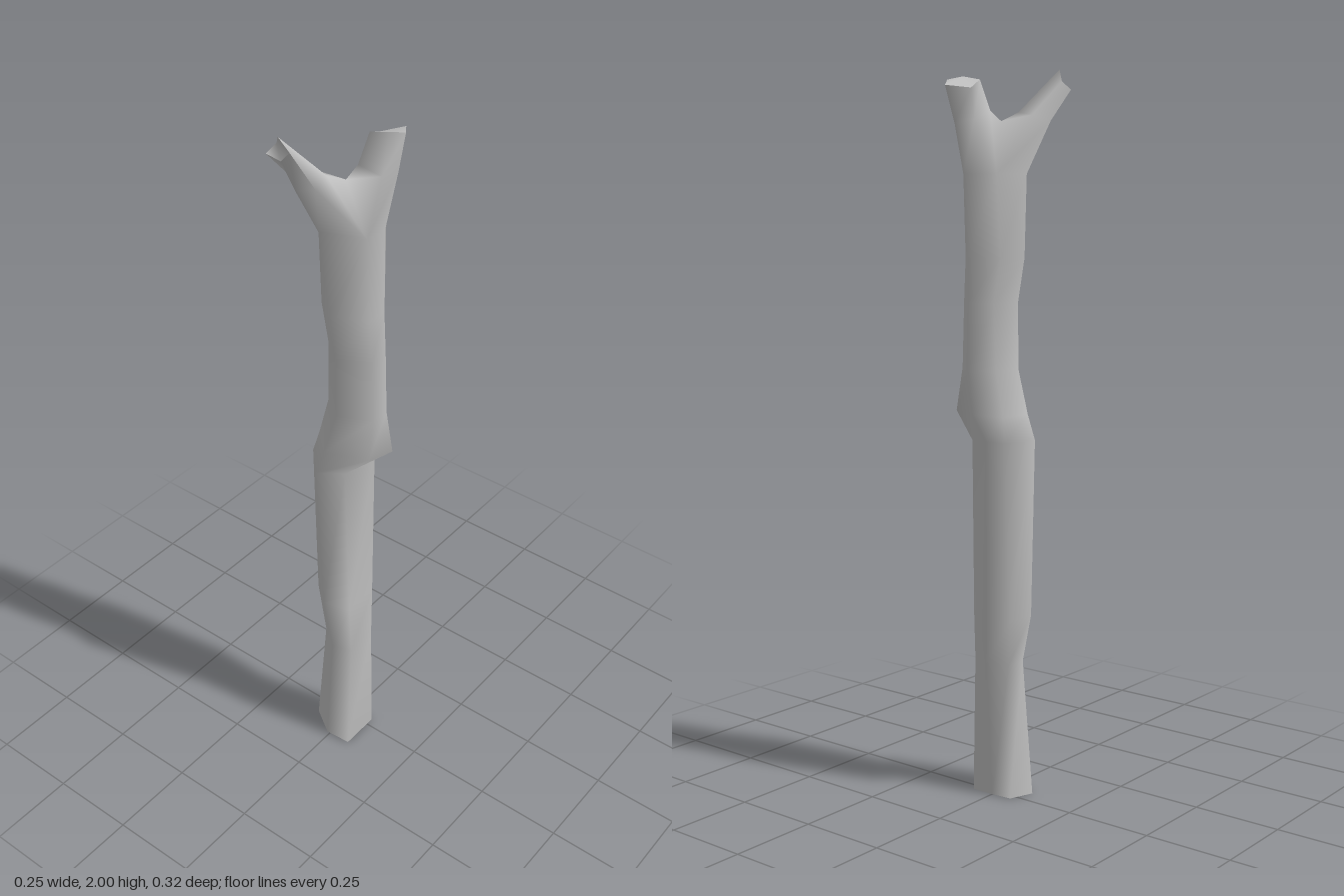
import * as THREE from 'three';

// Trunk cross-sections: height, then six [x, z] corners, counter-clockwise from above
const TRUNK = [
  [0, [.067, .095], [.067, -.025], [0, -.025], [-.06, -.02], [-.085, .05], [-.01, .1]],
  [.38, [.068, .08], [.068, -.015], [.02, -.025], [-.05, -.015], [-.05, .05], [.01, .095]],
  [.52, [.045, .06], [.045, -.048], [0, -.05], [-.085, -.05], [-.09, .035], [-.03, .085]],
  [1.01, [.03, .06], [.03, -.072], [-.02, -.075], [-.085, -.077], [-.105, .03], [-.035, .105]],
  [1.08, [.1, .045], [.125, -.025], [.02, -.083], [-.08, -.078], [-.088, .02], [-.015, .092]],
  [1.2, [.1, .03], [.103, -.025], [.03, -.09], [-.055, -.075], [-.056, .02], [.01, .072]],
  [1.38, [.095, .03], [.097, -.025], [.03, -.09], [-.05, -.08], [-.05, .025], [.01, .072]],
  [1.5, [.085, .03], [.087, -.03], [.03, -.09], [-.065, -.07], [-.068, .03], [-.01, .07]],
  [1.72, [.065, .015], [.07, -.05], [.04, -.095], [-.04, -.055], [-.09, .01], [-.05, .06]],
];
const CROTCH = [0, 1.86, .015];
// Prong cross-sections, each starting from four trunk corners plus the crotch
const FRONT_PRONG = [
  [[-.08, 1.875, .045], [-.112, 1.86, .085], [-.07, 1.85, .12], [-.015, 1.865, .11], [-.02, 1.885, .065]],
  [[-.115, 1.965, .13], [-.125, 1.945, .158], [-.085, 1.935, .152], [-.05, 1.97, .16], [-.085, 2, .16]],
];
const BACK_PRONG = [
  [[.07, 1.87, -.035], [.085, 1.87, -.08], [.05, 1.85, -.118], [0, 1.86, -.098], [.005, 1.885, -.025]],
  [[.07, 1.975, -.06], [.09, 1.965, -.1], [.045, 1.945, -.162], [.005, 1.94, -.105], [.02, 1.965, -.05]],
];

// Flat polygon closing the end of a limb
function makeCap(name, points, material) {
  const geometry = new THREE.BufferGeometry();
  geometry.setAttribute('position', new THREE.Float32BufferAttribute(points.flat(), 3));
  const index = [];
  for (let i = 1; i < points.length - 1; i++) index.push(0, i, i + 1);
  geometry.setIndex(index);
  geometry.computeVertexNormals();
  const mesh = new THREE.Mesh(geometry, material);
  mesh.name = name;
  return mesh;
}

export function createModel() {
  const group = new THREE.Group();
  group.name = 'forkedBranch';
  const bark = new THREE.MeshStandardMaterial({ color: 0xbfbfbf });
  bark.name = 'grey bark';

  const vertices = [], index = [];
  const add = (p) => vertices.push(p) - 1;
  const bridge = (low, high) => {
    low.forEach((a, i) => {
      const j = (i + 1) % low.length;
      index.push(a, low[j], high[j], a, high[j], high[i]);
    });
    return high;
  };

  // Trunk
  const rings = TRUNK.map(([y, ...corners]) => corners.map(([x, z]) => add([x, y, z])));
  const top = rings.reduce(bridge);

  // Two prongs sharing the crotch point
  const crotch = add(CROTCH);
  const grow = (corners, sections) => sections.reduce(
    (ring, section) => bridge(ring, section.map(add)), [...corners.map((i) => top[i]), crotch]);
  const frontEnd = grow([3, 4, 5, 0], FRONT_PRONG);
  const backEnd = grow([0, 1, 2, 3], BACK_PRONG);

  const geometry = new THREE.BufferGeometry();
  geometry.setAttribute('position', new THREE.Float32BufferAttribute(vertices.flat(), 3));
  geometry.setIndex(index);
  geometry.computeVertexNormals();
  const branch = new THREE.Mesh(geometry, bark);
  branch.name = 'branch';
  group.add(branch);

  // Cut ends
  const pick = (ring) => ring.map((i) => vertices[i]);
  group.add(
    makeCap('baseEnd', pick(rings[0]).reverse(), bark),
    makeCap('frontProngEnd', pick(frontEnd), bark),
    makeCap('backProngEnd', pick(backEnd), bark),
  );
  return group;
}
